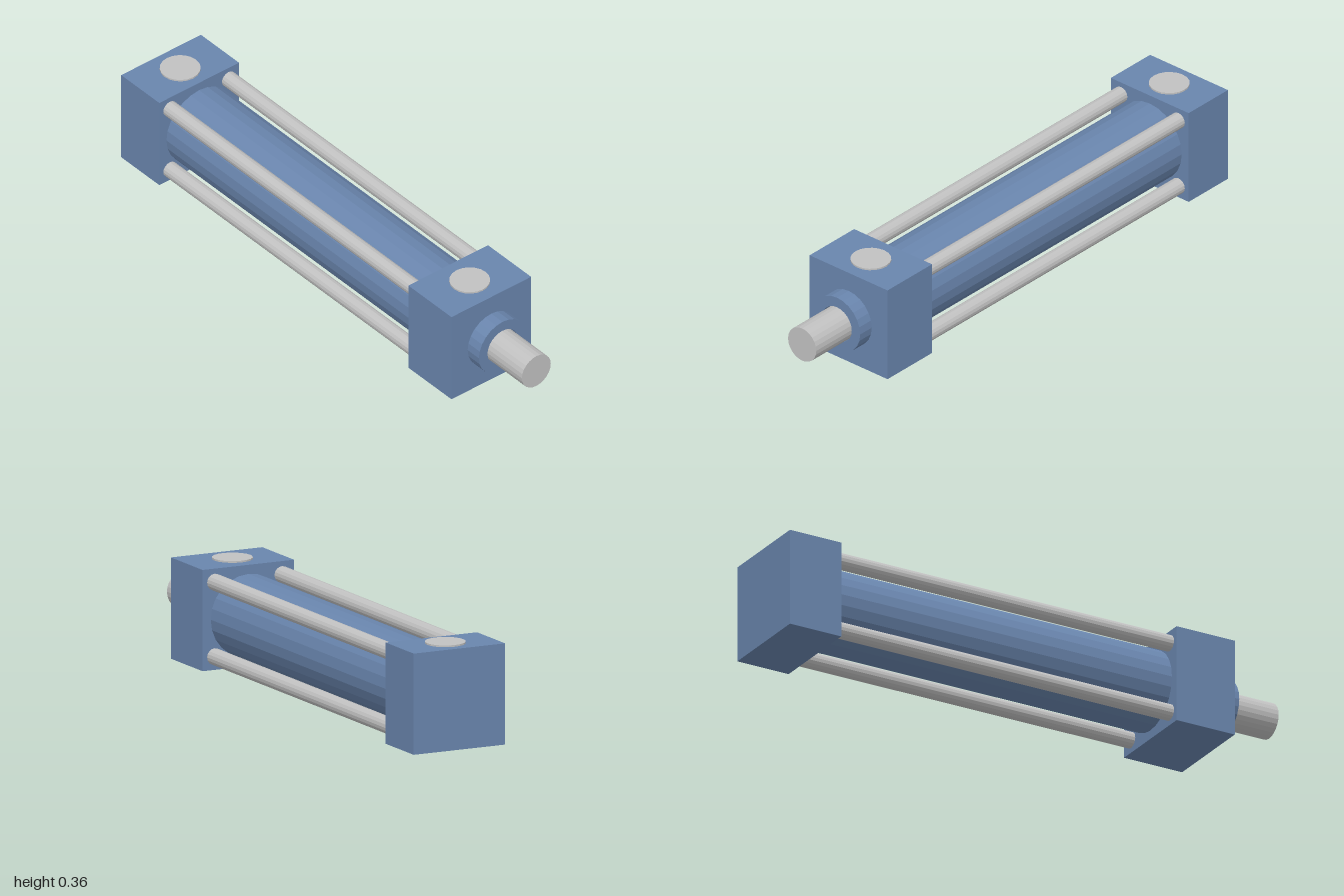
import * as THREE from 'three';

const blue = new THREE.MeshStandardMaterial({ name: 'blue paint', color: 0x6985ad, flatShading: true });
const steel = new THREE.MeshStandardMaterial({ name: 'bright steel', color: 0xc1c1c1, flatShading: true });

const HALF = 0.1765; // half the width of the end blocks, also the axis height

export function createModel() {
  const group = new THREE.Group();

  const add = (name, geometry, material, x, y, z) => {
    const mesh = new THREE.Mesh(geometry, material);
    mesh.name = name;
    mesh.position.set(x, y, z);
    group.add(mesh);
  };

  // Round bar lying along x from x0 to x1
  const bar = (name, r, x0, x1, sides, material, y = HALF, z = 0) => {
    const geometry = new THREE.CylinderGeometry(r, r, x1 - x0, sides).rotateZ(-Math.PI / 2);
    add(name, geometry, material, (x0 + x1) / 2, y, z);
  };

  // Square end blocks, each with a round port plug on top
  for (const [name, x0, x1, portX] of [['rear', -1, -0.797, -0.898], ['front', 0.53, 0.76, 0.645]]) {
    add(name + 'Block', new THREE.BoxGeometry(x1 - x0, HALF * 2, HALF * 2), blue, (x0 + x1) / 2, HALF, 0);
    add(name + 'Port', new THREE.CylinderGeometry(0.07, 0.07, 0.012, 20), steel, portX, HALF * 2, 0);
  }

  // Barrel between the blocks
  bar('barrel', 0.145, -0.797, 0.53, 24, blue);

  // Four tie rods around the barrel
  for (const sy of [-1, 1]) {
    for (const sz of [-1, 1]) {
      bar('tieRod', 0.029, -0.797, 0.53, 16, steel, HALF + sy * 0.13, sz * 0.13);
    }
  }

  // Collar with a bore slightly wider than the piston rod
  const profile = [[0.067, 0], [0.105, 0], [0.105, 0.06], [0.067, 0.06], [0.067, 0]];
  const collar = new THREE.LatheGeometry(profile.map(([r, h]) => new THREE.Vector2(r, h)), 24);
  add('collar', collar.rotateZ(-Math.PI / 2), blue, 0.76, HALF, 0);

  // Piston rod
  bar('pistonRod', 0.064, 0.76, 1, 24, steel);

  return group;
}
